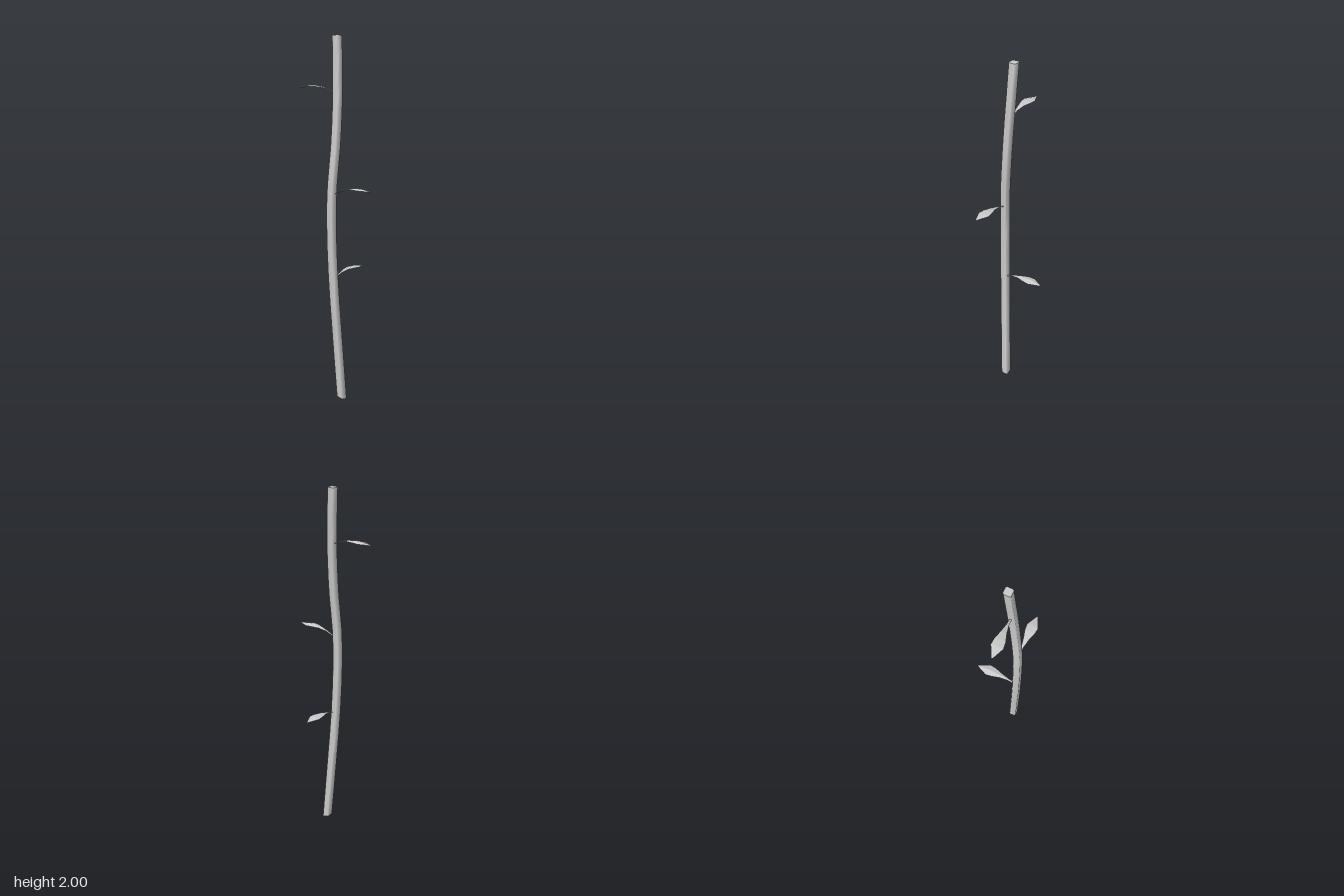
import * as THREE from 'three';
import { toCreasedNormals } from 'three/addons/utils/BufferGeometryUtils.js';

const material = new THREE.MeshStandardMaterial({ color: 0xcccccc, side: THREE.DoubleSide });

// Skin a list of equal-sized rings (arrays of Vector3) and cap both ends.
// Edges sharper than the crease angle stay hard.
function loft(rings, name, crease) {
  const n = rings[0].length;
  const positions = rings.flat().flatMap((p) => [p.x, p.y, p.z]);
  const index = [];
  for (let r = 0; r < rings.length - 1; r++) {
    for (let i = 0; i < n; i++) {
      const a = r * n + i, b = r * n + (i + 1) % n;
      index.push(a, b, b + n, a, b + n, a + n);
    }
  }
  const last = (rings.length - 1) * n;
  for (let i = 1; i < n - 1; i++) {
    index.push(0, i + 1, i, last, last + i, last + i + 1);
  }
  const geometry = new THREE.BufferGeometry();
  geometry.setAttribute('position', new THREE.Float32BufferAttribute(positions, 3));
  geometry.setIndex(index);
  const mesh = new THREE.Mesh(toCreasedNormals(geometry, crease), material);
  mesh.name = name;
  return mesh;
}

// Gently winding stem with a softly bevelled square section
function createStem() {
  const path = new THREE.CatmullRomCurve3([
    [0.034, 0.012, 0.081], [0.012, 0.4, 0.097], [-0.004, 0.7, 0.108], [-0.012, 1, 0.112],
    [-0.009, 1.2, 0.108], [0, 1.4, 0.091], [0, 1.62, 0.074], [-0.006, 1.78, 0.063], [-0.019, 2, 0.051],
  ].map((p) => new THREE.Vector3(...p)));
  const h = 0.0215, c = 0.0155;
  const section = [[h, c], [h, -c], [c, -h], [-c, -h], [-h, -c], [-h, c], [-c, h], [c, h]];
  const steps = 16;
  const rings = [];
  for (let s = 0; s <= steps; s++) {
    const p = path.getPoint(s / steps);
    const slant = s === 0 ? 0.3 : 0; // the foot is cut at an angle
    rings.push(section.map(([x, z]) => new THREE.Vector3(p.x + x, p.y + slant * (0.3 * z - x), p.z + z)));
  }
  return loft(rings, 'stem', 0.9);
}

// Leaf pointing along +x: narrow stalk widening to a blade folded down from its midrib
function createLeaf(name) {
  const profile = [ // distance, midrib height, half width
    [0, 0, 0.005], [0.045, 0.018, 0.007], [0.092, 0.031, 0.016],
    [0.136, 0.037, 0.029], [0.172, 0.037, 0.033], [0.235, 0.026, 0.004],
  ];
  return loft(profile.map(([x, y, w]) => [
    new THREE.Vector3(x, y - 0.25 * w, w), new THREE.Vector3(x, y - 0.004, 0),
    new THREE.Vector3(x, y - 0.25 * w, -w), new THREE.Vector3(x, y, 0),
  ]), name, 0);
}

export function createModel() {
  const group = new THREE.Group();
  group.name = 'twig';
  group.add(createStem());
  const leaves = [
    ['lowerLeaf', [0.003, 0.696, 0.093], Math.PI / 2],
    ['middleLeaf', [0.013, 1.158, 0.105], -0.01],
    ['upperLeaf', [-0.015, 1.698, 0.068], Math.PI + 0.035],
  ];
  for (const [name, position, turn] of leaves) {
    const leaf = createLeaf(name);
    leaf.position.set(...position);
    leaf.rotation.y = turn;
    group.add(leaf);
  }
  return group;
}
